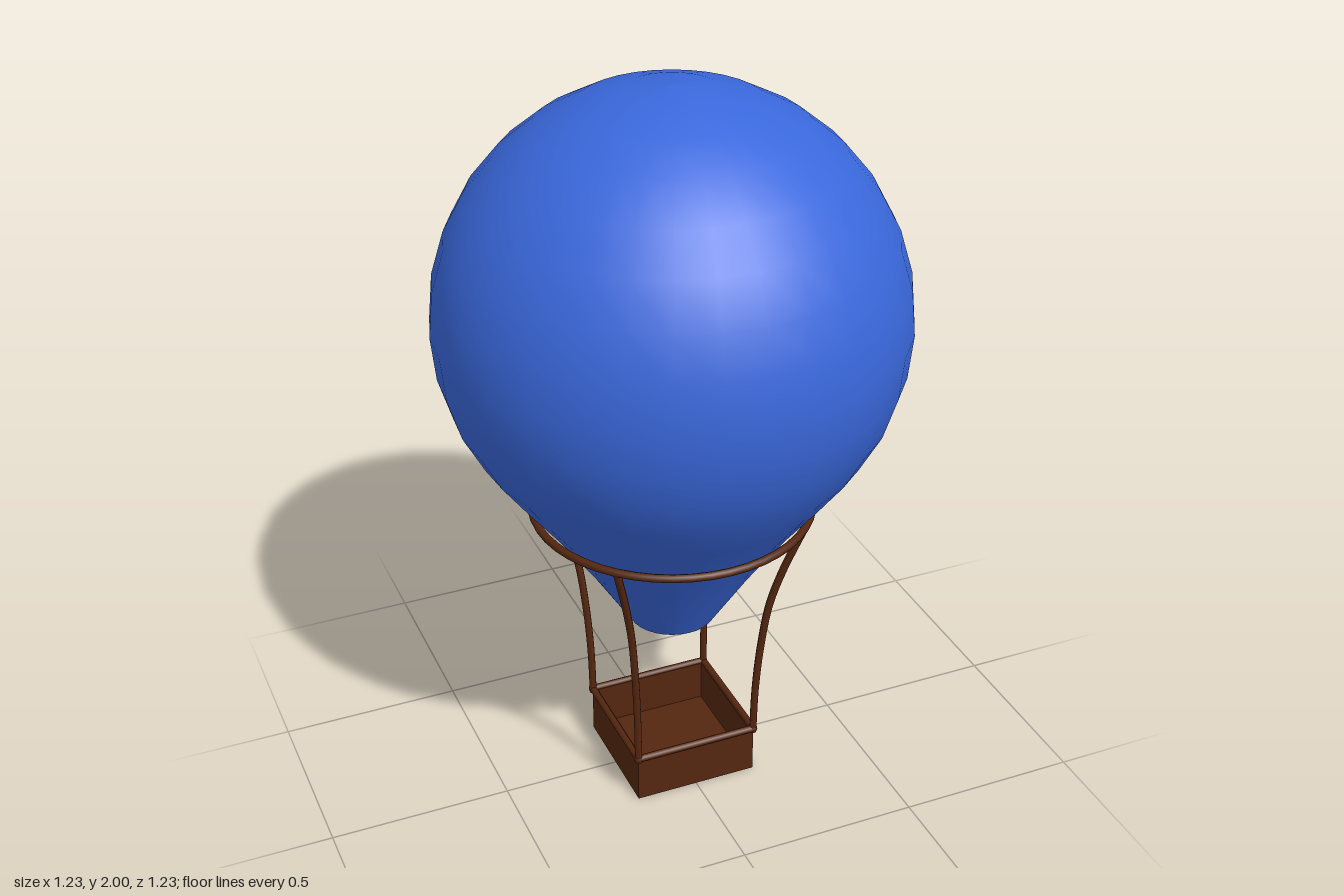
import * as THREE from 'three';

const blue = new THREE.MeshStandardMaterial({ color: 0x3a68dc, side: THREE.DoubleSide });
const brown = new THREE.MeshStandardMaterial({ color: 0x552710 });

function addMesh(parent, name, geometry, material) {
  const mesh = new THREE.Mesh(geometry, material);
  mesh.name = name;
  parent.add(mesh);
  return mesh;
}

// Open-mouthed envelope: tapered skirt running up into a sphere
function envelopeGeometry() {
  const radius = 0.615, centreY = 1.385;
  const profile = [[0.12, 0.48], [0.24, 0.67], [0.355, 0.835], [0.432, 0.935]]
    .map(([x, y]) => new THREE.Vector2(x, y));
  for (let k = 11; k >= 0; k--) {
    const a = (k * Math.PI) / 16;
    profile.push(new THREE.Vector2(radius * Math.sin(a), centreY + radius * Math.cos(a)));
  }
  return new THREE.LatheGeometry(profile, 32);
}

// Rope from a basket corner up to the ring, bowing outwards near the top
function ropeGeometry(sx, sz) {
  const points = [[0.173, 0.13], [0.176, 0.28], [0.185, 0.43], [0.2, 0.57], [0.225, 0.69], [0.264, 0.835]]
    .map(([d, y]) => new THREE.Vector3(sx * d, y, sz * d));
  return new THREE.TubeGeometry(new THREE.CatmullRomCurve3(points), 20, 0.0105, 8);
}

// Hollow square basket with a floor and a round rim
function createBasket() {
  const basket = new THREE.Group();
  basket.name = 'basket';
  const half = 0.174, wall = 0.012, height = 0.14;

  const square = (path, h) => path.moveTo(-h, -h).lineTo(h, -h).lineTo(h, h).lineTo(-h, h).closePath();
  const outline = square(new THREE.Shape(), half);
  outline.holes.push(square(new THREE.Path(), half - wall));
  const walls = new THREE.ExtrudeGeometry(outline, { depth: height, bevelEnabled: false });
  addMesh(basket, 'basketWalls', walls.rotateX(-Math.PI / 2), brown);

  const inner = 2 * (half - wall);
  addMesh(basket, 'basketFloor', new THREE.BoxGeometry(inner, 0.02, inner), brown).position.y = 0.01;

  const rim = new THREE.Group();
  rim.name = 'basketRim';
  for (let i = 0; i < 4; i++) {
    const bar = new THREE.CylinderGeometry(0.01, 0.01, 2 * half, 8);
    bar.rotateZ(Math.PI / 2).translate(0, height, half).rotateY((i * Math.PI) / 2);
    addMesh(rim, 'rimBar', bar, brown);
    const corner = new THREE.SphereGeometry(0.0115, 10, 8).translate(half, height, half).rotateY((i * Math.PI) / 2);
    addMesh(rim, 'rimCorner', corner, brown);
  }
  basket.add(rim);
  return basket;
}

export function createModel() {
  const model = new THREE.Group();
  model.name = 'hotAirBalloon';

  addMesh(model, 'envelope', envelopeGeometry(), blue);

  // Load ring around the skirt
  const ring = new THREE.TorusGeometry(0.375, 0.011, 8, 48).rotateX(Math.PI / 2);
  addMesh(model, 'loadRing', ring, brown).position.y = 0.835;

  for (const sx of [-1, 1]) {
    for (const sz of [-1, 1]) addMesh(model, 'rope', ropeGeometry(sx, sz), brown);
  }

  model.add(createBasket());
  return model;
}
